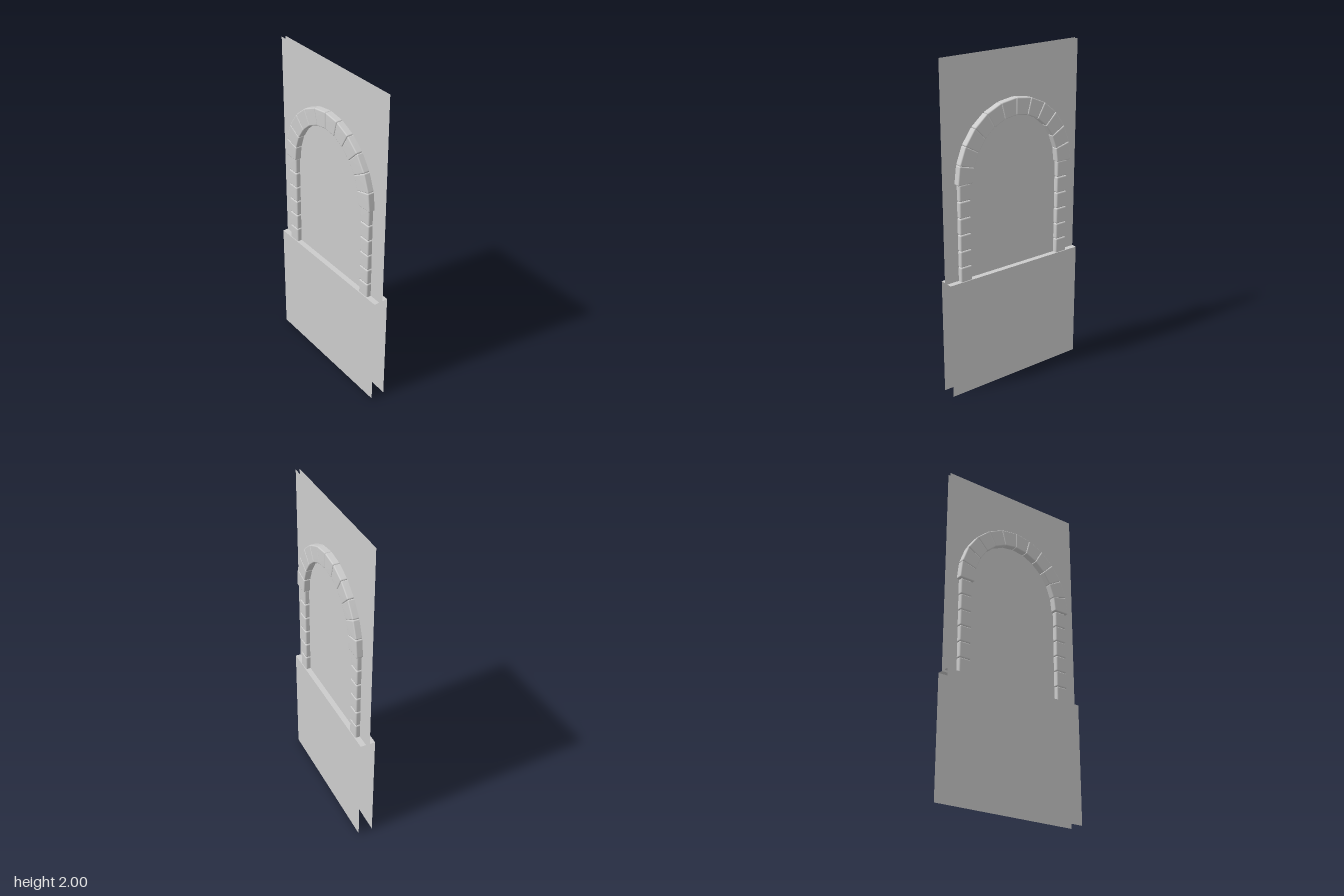
import * as THREE from 'three';
import { RoundedBoxGeometry } from 'three/addons/geometries/RoundedBoxGeometry.js';
import { mergeVertices } from 'three/addons/utils/BufferGeometryUtils.js';

const stoneMat = new THREE.MeshStandardMaterial({ color: 0xcccccc });
const wallMat = new THREE.MeshStandardMaterial({ color: 0xcccccc, side: THREE.DoubleSide });

const WALL_WIDTH = 0.925, LEDGE_Y = 0.72, OUTER_X = 0.045, INNER_X = 0.012;
const SPRING_Y = 1.3, STONES = 12;

function add(parent, name, geometry, material) {
  const mesh = new THREE.Mesh(geometry, material);
  mesh.name = name;
  parent.add(mesh);
  return mesh;
}

// Softly rounded block with shared, smooth normals
function softBlock(w, h, d, radius) {
  const geo = new RoundedBoxGeometry(w, h, d, 3, radius);
  geo.deleteAttribute('uv');
  geo.deleteAttribute('normal');
  const merged = mergeVertices(geo, 1e-5);
  merged.computeVertexNormals();
  return merged;
}

// One wedge of the arch: a block bent along an elliptical ring
function archStone(index) {
  const step = Math.PI / STONES;
  const geo = softBlock(0.1, 0.1, 0.1, 0.007);
  const p = geo.attributes.position;
  for (let i = 0; i < p.count; i++) {
    const angle = (index + 0.5 + p.getZ(i) * 10) * step;
    const r = p.getY(i);
    p.setXYZ(i, p.getX(i),
      SPRING_Y + Math.sin(angle) * (0.382 + r),
      -Math.cos(angle) * (0.348 + r));
  }
  geo.computeVertexNormals();
  return geo;
}

export function createModel() {
  const model = new THREE.Group();
  model.name = 'archedWall';

  // Two open wall skins, each with a thicker base and a ledge
  for (const s of [1, -1]) {
    const skin = new THREE.Group();
    skin.name = s > 0 ? 'leftWallSkin' : 'rightWallSkin';
    model.add(skin);
    const sheet = (name, x, y0, y1) => add(skin, name,
      new THREE.PlaneGeometry(WALL_WIDTH, y1 - y0).rotateY(s * Math.PI / 2)
        .translate(s * x, (y0 + y1) / 2, 0), wallMat);
    sheet('basePanel', OUTER_X, 0, LEDGE_Y);
    sheet('upperPanel', INNER_X, LEDGE_Y, 2);
    add(skin, 'ledge', new THREE.PlaneGeometry(OUTER_X - INNER_X, WALL_WIDTH)
      .rotateX(-Math.PI / 2)
      .translate(s * (OUTER_X + INNER_X) / 2, LEDGE_Y, 0), wallMat);
  }

  // Pillars of stacked stones
  const rows = 6, bottom = 0.71, pitch = (SPRING_Y - bottom) / rows;
  for (const s of [1, -1]) {
    const pillar = new THREE.Group();
    pillar.name = s > 0 ? 'frontPillar' : 'backPillar';
    model.add(pillar);
    for (let i = 0; i < rows; i++) {
      const stone = add(pillar, 'pillarStone', softBlock(0.08, pitch, 0.076, 0.009), stoneMat);
      stone.position.set(0, bottom + (i + 0.5) * pitch, s * 0.346);
    }
  }

  // Ring of wedge stones
  const arch = new THREE.Group();
  arch.name = 'arch';
  model.add(arch);
  for (let i = 0; i < STONES; i++) add(arch, 'archStone', archStone(i), stoneMat);

  return model;
}
